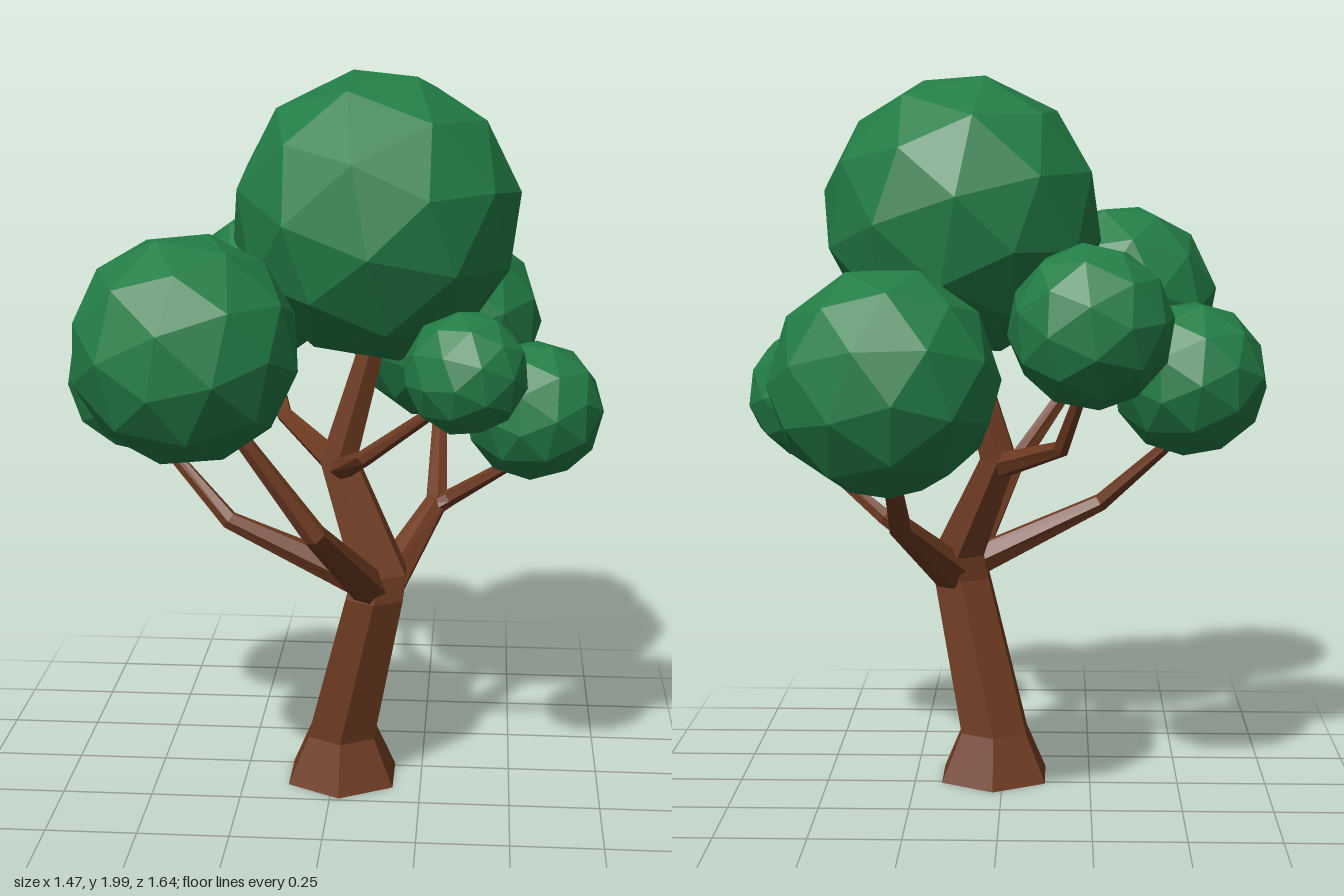
import * as THREE from 'three';

const bark = new THREE.MeshStandardMaterial({ color: 0x6f3b22, flatShading: true });
bark.name = 'bark';
const leaves = new THREE.MeshStandardMaterial({ color: 0x237d46, flatShading: true });
leaves.name = 'leaves';

// Tapered limb through points [x, y, z, radius]; rings lie flat when upright is true
function limb(name, points, sides, upright = false) {
  const centres = points.map(p => new THREE.Vector3(p[0], p[1], p[2]));
  const last = points.length - 1;
  const rings = centres.map((c, i) => {
    const dir = upright
      ? new THREE.Vector3(0, 1, 0)
      : centres[Math.min(i + 1, last)].clone().sub(centres[Math.max(i - 1, 0)]).normalize();
    const turn = new THREE.Quaternion().setFromUnitVectors(new THREE.Vector3(0, 1, 0), dir);
    return Array.from({ length: sides }, (_, k) => {
      const a = (k / sides) * Math.PI * 2;
      return new THREE.Vector3(Math.sin(a), 0, Math.cos(a))
        .multiplyScalar(points[i][3]).applyQuaternion(turn).add(c);
    });
  });
  const pos = [];
  const tri = (...vs) => vs.forEach(v => pos.push(v.x, v.y, v.z));
  for (let k = 0; k < sides; k++) {
    const n = (k + 1) % sides;
    for (let i = 0; i < last; i++) {
      tri(rings[i][k], rings[i][n], rings[i + 1][n]);
      tri(rings[i][k], rings[i + 1][n], rings[i + 1][k]);
    }
    tri(centres[0], rings[0][n], rings[0][k]);
    tri(centres[last], rings[last][k], rings[last][n]);
  }
  const geo = new THREE.BufferGeometry();
  geo.setAttribute('position', new THREE.Float32BufferAttribute(pos, 3));
  geo.computeVertexNormals();
  const mesh = new THREE.Mesh(geo, bark);
  mesh.name = name;
  return mesh;
}

// Faceted ball of leaves
function crown(name, x, y, z, r, turn) {
  const mesh = new THREE.Mesh(new THREE.IcosahedronGeometry(r, 1), leaves);
  mesh.position.set(x, y, z);
  mesh.rotation.set(turn, turn * 1.7, turn * 0.6);
  mesh.name = name;
  return mesh;
}

export function createModel() {
  const tree = new THREE.Group();
  tree.name = 'tree';

  // Flared, leaning trunk up into the main crown
  tree.add(limb('trunk', [
    [0.025, 0, 0.07, 0.17], [0.025, 0.135, 0.075, 0.107], [0.12, 0.57, 0.148, 0.09],
    [0.13, 0.64, 0.135, 0.085], [0.012, 0.93, 0.045, 0.058], [0.12, 1.32, 0.06, 0.038],
  ], 6, true));

  // Lower branches from the fork
  tree.add(limb('frontBranch', [
    [0.12, 0.58, 0.16, 0.055], [-0.02, 0.84, 0.47, 0.032], [-0.2, 1.1, 0.505, 0.022], [-0.28, 1.2, 0.52, 0.02],
  ], 6));
  tree.add(limb('rightBranch', [
    [0.11, 0.6, 0.15, 0.05], [-0.28, 0.785, 0.17, 0.026], [-0.5, 1.0, 0.06, 0.016],
  ], 6));
  tree.add(limb('backBranch', [
    [0.14, 0.58, 0.12, 0.06], [0.28, 0.765, -0.12, 0.034], [0.28, 0.97, -0.42, 0.022], [0.28, 1.05, -0.47, 0.02],
  ], 6));
  tree.add(limb('leftBranch', [
    [0.27, 0.75, -0.1, 0.026], [0.32, 0.785, -0.1, 0.024], [0.5, 0.92, -0.01, 0.016], [0.53, 1.0, 0.06, 0.014],
  ], 6));

  // Upper branches
  tree.add(limb('upperFrontBranch', [
    [0.01, 0.9, 0.05, 0.035], [0.1, 1.01, 0.32, 0.022], [0.34, 1.21, 0.44, 0.014],
  ], 6));
  tree.add(limb('upperBackBranch', [
    [0.01, 0.91, 0.04, 0.038], [-0.165, 0.995, -0.2, 0.024], [-0.23, 1.2, -0.34, 0.016],
  ], 6));

  // Leaf crowns
  tree.add(crown('topCrown', 0.113, 1.612, 0.063, 0.393, 0.35));
  tree.add(crown('frontRightCrown', -0.34, 1.34, 0.53, 0.295, 0.8));
  tree.add(crown('backLeftCrown', 0.283, 1.21, -0.535, 0.298, 1.3));
  tree.add(crown('rightCrown', -0.523, 1.16, 0.038, 0.22, 1.9));
  tree.add(crown('backRightCrown', -0.24, 1.34, -0.39, 0.218, 2.4));
  tree.add(crown('leftCrown', 0.543, 1.104, 0.14, 0.19, 2.9));
  tree.add(crown('frontLeftCrown', 0.363, 1.278, 0.477, 0.16, 3.5));
  return tree;
}
